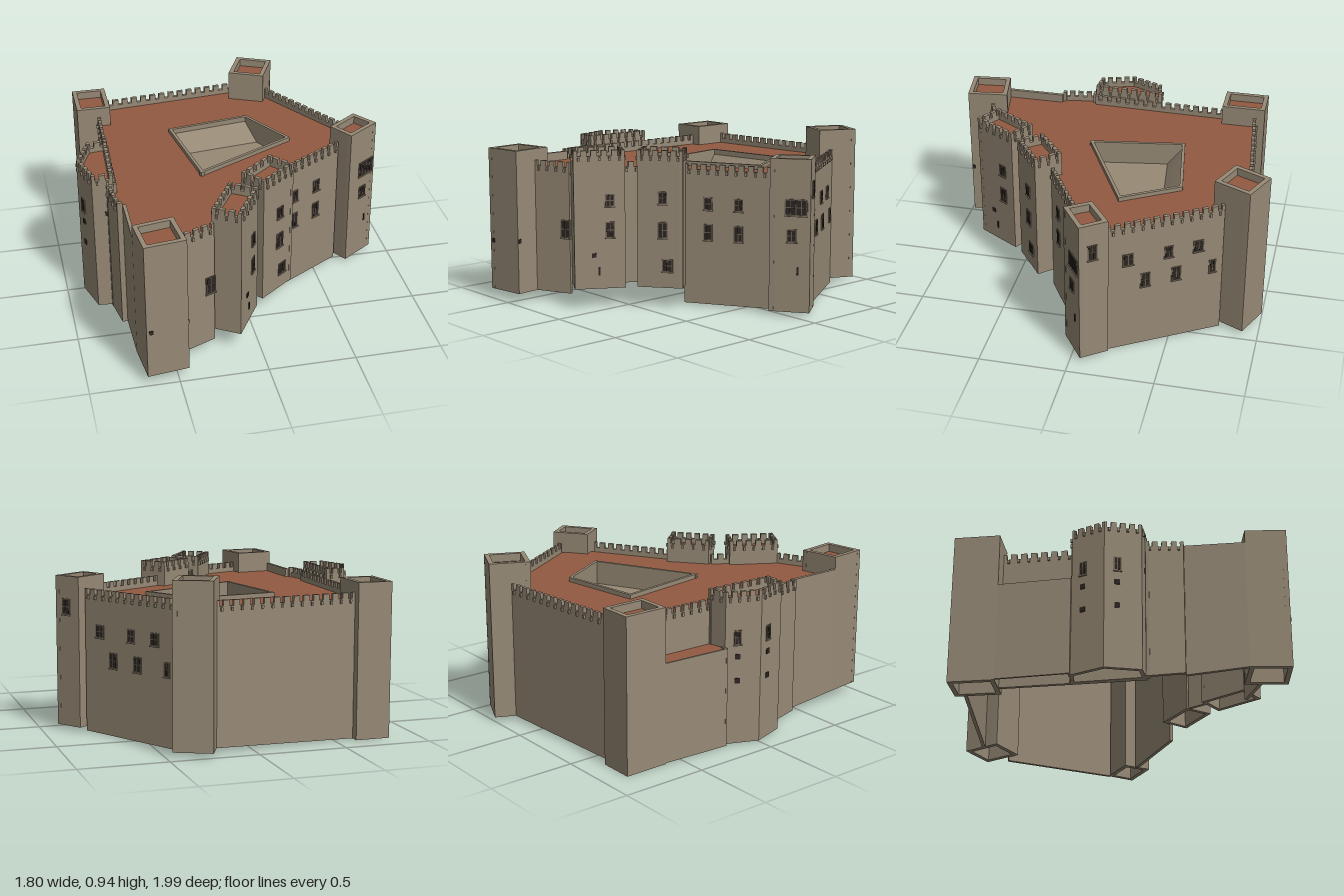
import * as THREE from 'three';

const mat = (name, color) => Object.assign(new THREE.MeshStandardMaterial({ color }), { name });
const stone = mat('stone', 0x978a76);
const brick = mat('brick', 0x935a41);
const frameMat = mat('windowFrame', 0x6a5e50);
const glass = mat('darkPane', 0x2c2622);
const ROOF = 0.77, TOP = 0.83;

function add(parent, name, geometry, material, x = 0, y = 0, z = 0) {
  const m = new THREE.Mesh(geometry, material);
  m.name = name;
  m.position.set(x, y, z);
  parent.add(m);
  return m;
}

// Window at distance x along a wall; tall ones get four panes, small ones are slits
function addWindow(wall, x, y, w, h) {
  const win = new THREE.Group();
  win.name = 'window';
  win.position.set(x, y, 0);
  wall.add(win);
  if (h < 0.05 || w < 0.03) {
    add(win, 'slit', new THREE.BoxGeometry(w, h, 0.008), glass);
    return;
  }
  add(win, 'frame', new THREE.BoxGeometry(w + 0.008, h + 0.008, 0.01), frameMat);
  add(win, 'sill', new THREE.BoxGeometry(w + 0.014, 0.006, 0.02), stone, 0, -h / 2 - 0.006, 0);
  const cols = w > 0.07 ? 4 : 2;
  for (let i = 0; i < cols; i++) for (const j of [-1, 1]) {
    const pw = w / cols;
    add(win, 'pane', new THREE.BoxGeometry(pw - 0.005, h / 2 - 0.005, 0.008), glass,
      (i + 0.5) * pw - w / 2, j * h / 4, 0.003);
  }
}

// Upright wall from p to q [x, z], outside on its right-hand side, with a sloping foot
function wall(parent, name, p, q, o) {
  const { y0 = 0.02, y1 = y0, top = TOP, thick = 0.02, merlons = false, windows = [] } = o;
  const dx = q[0] - p[0], dz = q[1] - p[1], len = Math.hypot(dx, dz);
  const g = new THREE.Group();
  g.name = name;
  g.position.set(p[0], 0, p[1]);
  g.rotation.y = Math.atan2(-dz, dx);
  parent.add(g);
  const s = new THREE.Shape();
  s.moveTo(0, y0);
  s.lineTo(len, y1);
  s.lineTo(len, top);
  if (merlons) {
    const n = Math.max(1, Math.round(len / 0.058)), pitch = len / n;
    for (let i = n - 1; i >= 0; i--) {
      const a = (i + 0.7) * pitch, b = (i + 0.3) * pitch;
      s.lineTo(a, top);
      s.lineTo(a, top - 0.032);
      s.lineTo(b, top - 0.032);
      s.lineTo(b, top);
      // small corbel below each gap
      add(g, 'corbel', new THREE.BoxGeometry(0.012, 0.02, 0.014), stone, (i + 0.5) * pitch, top - 0.048, 0.004);
    }
  }
  s.lineTo(0, top);
  const geo = new THREE.ExtrudeGeometry(s, { depth: thick, bevelEnabled: false });
  geo.translate(0, 0, -thick);
  add(g, name + 'Face', geo, stone);
  for (const [t, y, w, h] of windows) addWindow(g, t * len, y, w, h);
  return g;
}

const shapeOf = pts => new THREE.Shape(pts.map(([x, z]) => new THREE.Vector2(x, -z)));

// Stone slab with a brick skin on top
function deck(parent, name, pts, y, hole, skin = true) {
  const s = shapeOf(pts);
  if (hole) s.holes.push(shapeOf(hole));
  const slab = new THREE.ExtrudeGeometry(s, { depth: 0.012, bevelEnabled: false }).rotateX(-Math.PI / 2);
  add(parent, name + 'Slab', slab, stone, 0, y - 0.014, 0);
  if (skin) add(parent, name, new THREE.ShapeGeometry(s).rotateX(-Math.PI / 2), brick, 0, y, 0);
}

// Tower: ring of walls with a sunken brick deck; windows are listed per side
function tower(parent, name, pts, o) {
  const g = new THREE.Group();
  g.name = name;
  parent.add(g);
  pts.forEach((p, i) => wall(g, name + 'Wall', p, pts[(i + 1) % pts.length],
    { thick: 0.027, ...o, windows: (o.windows || {})[i] }));
  const cx = pts.reduce((a, p) => a + p[0], 0) / pts.length;
  const cz = pts.reduce((a, p) => a + p[1], 0) / pts.length;
  const inset = pts.map(([x, z]) => [cx + (x - cx) * 0.94, cz + (z - cz) * 0.94]);
  deck(g, name + 'Deck', inset, o.top - (o.merlons ? 0.06 : 0.045));
}

export function createModel() {
  const castle = new THREE.Group();
  castle.name = 'castle';

  // Towers
  tower(castle, 'frontLeftTower', [[-0.675, 0.99], [-0.44, 0.96], [-0.47, 0.72], [-0.70, 0.76]], {
    y0: 0.06, top: 0.895,
    windows: { 0: [[0.11, 0.35, 0.022, 0.025]], 1: [[0.05, 0.37, 0.02, 0.025]] },
  });
  tower(castle, 'gateTowerWest', [[-0.26, 0.71], [-0.115, 0.80], [0.035, 0.55], [-0.11, 0.46]], {
    y0: 0.12, top: 0.915, merlons: true, thick: 0.022,
    windows: { 1: [[0.7, 0.63, 0.045, 0.065], [0.7, 0.46, 0.045, 0.085], [0.38, 0.315, 0.025, 0.025], [0.48, 0.22, 0.012, 0.045]] },
  });
  tower(castle, 'gateTowerEast', [[-0.02, 0.37], [0.08, 0.50], [0.29, 0.34], [0.18, 0.21]], {
    y0: 0.125, top: 0.915, merlons: true, thick: 0.022,
    windows: { 1: [[0.56, 0.645, 0.045, 0.065], [0.56, 0.46, 0.05, 0.085], [0.66, 0.255, 0.055, 0.065]] },
  });
  tower(castle, 'eastTower', [[0.62, -0.07], [0.71, 0.07], [0.90, -0.06], [0.80, -0.20]], {
    y0: 0.03, top: 0.895,
    windows: {
      1: [[0.65, 0.625, 0.12, 0.085], [0.55, 0.465, 0.05, 0.065], [0.7, 0.265, 0.012, 0.045]],
      2: [[0.46, 0.72, 0.05, 0.085]],
    },
  });
  tower(castle, 'backRightTower', [[0.16, -0.79], [0.36, -0.70], [0.46, -0.91], [0.26, -1.0]], { y0: 0.03, top: 0.95 });
  tower(castle, 'backLeftTower', [[-0.82, -0.60], [-0.62, -0.60], [-0.62, -0.86], [-0.82, -0.86]], { y0: 0.005, top: 0.89 });
  const sideSlits = [[0.35, 0.63, 0.035, 0.075], [0.35, 0.52, 0.03, 0.03], [0.35, 0.38, 0.03, 0.03]];
  tower(castle, 'westTower', [[-0.90, 0], [-0.84, 0.20], [-0.72, 0.21], [-0.70, -0.21], [-0.82, -0.19]], {
    y0: 0.01, top: 0.89, merlons: true, thick: 0.022,
    windows: { 0: sideSlits, 1: [[0.62, 0.64, 0.014, 0.03]], 4: sideSlits },
  });

  // Curtain walls
  const m = true;
  const sides = [
    ['southWall', [-0.46, 0.82], [-0.25, 0.73], { y0: 0.06, merlons: m, windows: [[0.88, 0.44, 0.055, 0.1]] }],
    ['gateWall', [-0.07, 0.49], [-0.015, 0.39], { y0: 0.12, merlons: m }],
    ['southEastWall', [0.22, 0.265], [0.65, 0.01], { y0: 0.02, merlons: m,
      windows: [0.28, 0.64].flatMap(t => [[t, 0.605, 0.045, 0.065], [t, 0.44, 0.045, 0.085]]) }],
    ['eastWall', [0.76, -0.19], [0.40, -0.77], { y0: 0.01, y1: 0.005, merlons: m,
      windows: [[0.17, 0.595, 0.055, 0.065], [0.52, 0.595, 0.045, 0.065], [0.78, 0.595, 0.055, 0.065],
        [0.32, 0.44, 0.05, 0.08], [0.59, 0.44, 0.05, 0.08], [0.91, 0.44, 0.035, 0.075]] }],
    ['northWall', [0.21, -0.89], [-0.62, -0.81], { y0: 0.03, y1: 0.005, merlons: m }],
    ['westWall', [-0.70, -0.60], [-0.72, 0.21], { y0: 0.01, merlons: m }],
    ['westStepReturn', [-0.72, 0.21], [-0.76, 0.21], { y0: 0.01 }],
    ['westStep', [-0.76, 0.21], [-0.73, 0.42], { y0: 0.01, y1: 0.03, merlons: m }],
    ['westStepEnd', [-0.73, 0.42], [-0.70, 0.42], { y0: 0.03 }],
    ['southWestWall', [-0.70, 0.42], [-0.70, 0.76], { y0: 0.03, y1: 0.06, top: 0.82 }],
  ];
  for (const s of sides) wall(castle, ...s);

  // Main roof around the courtyard
  const court = [[-0.20, 0.13], [0.40, -0.17], [0.205, -0.50], [-0.29, -0.43]];
  deck(castle, 'mainRoof', [
    [-0.69, 0.77], [-0.46, 0.81], [-0.25, 0.72], [-0.07, 0.49], [-0.015, 0.39], [0.22, 0.255],
    [0.64, 0.005], [0.75, -0.19], [0.40, -0.76], [0.21, -0.88], [-0.62, -0.80], [-0.69, -0.60],
    [-0.71, 0.21], [-0.75, 0.22], [-0.72, 0.41], [-0.69, 0.42],
  ], ROOF, court);

  // Sunken courtyard with a low rim and a sloping back
  court.forEach((p, i) => wall(castle, 'courtyardWall', p, court[(i + 1) % 4], { y0: 0.64, top: 0.795, thick: 0.018 }));
  deck(castle, 'courtyardFloor', court, 0.66, null, false);
  const slope = new THREE.BufferGeometry();
  slope.setAttribute('position', new THREE.Float32BufferAttribute([
    -0.275, 0.765, -0.415, -0.265, 0.66, -0.33, 0.25, 0.66, -0.39, 0.197, 0.765, -0.482], 3));
  slope.setIndex([0, 1, 2, 0, 2, 3]);
  slope.computeVertexNormals();
  add(castle, 'courtyardSlope', slope, stone);

  // Low annex on the west side
  wall(castle, 'annexWall', [-0.82, -0.60], [-0.845, -0.19], { y0: 0.01, top: 0.58, thick: 0.012 });
  wall(castle, 'annexEnd', [-0.845, -0.19], [-0.80, -0.19], { y0: 0.01, top: 0.58, thick: 0.012 });
  deck(castle, 'annexRoof', [[-0.815, -0.60], [-0.838, -0.195], [-0.71, -0.195], [-0.70, -0.60]], 0.575);

  return castle;
}
